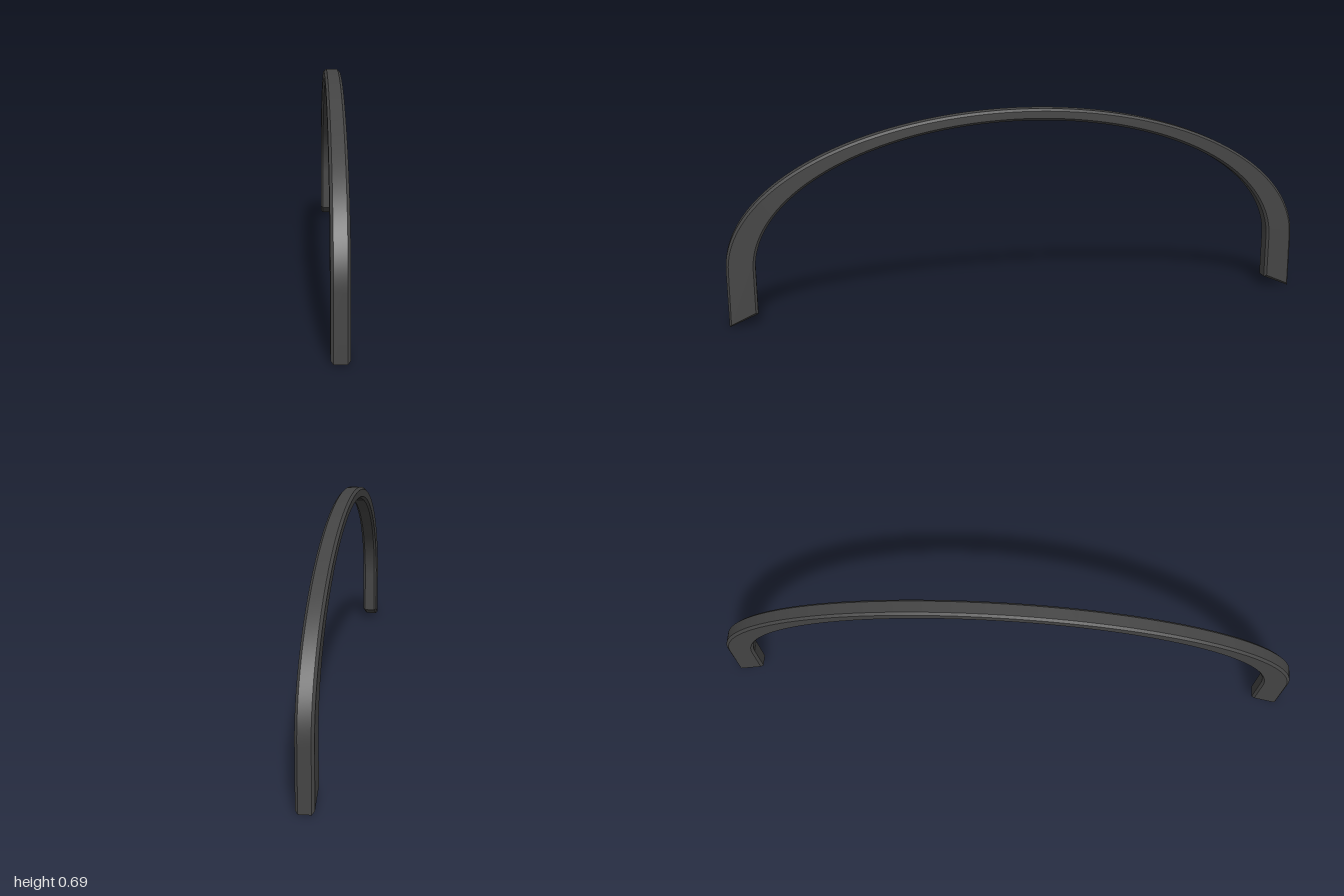
import * as THREE from 'three';
import { toCreasedNormals } from 'three/addons/utils/BufferGeometryUtils.js';

const SPRING = 0.195; // height where the straight legs turn into the arch
const WIDTH = 0.054;
const CHAMFER = 0.008;

export function createModel() {
  const group = new THREE.Group();
  group.name = 'archHandle';

  // Side profile: legs with slanted feet, joined by two half ellipses
  const profile = new THREE.Shape();
  profile.moveTo(1, 0);
  profile.lineTo(1, SPRING);
  profile.absellipse(0, SPRING, 1, 0.5, 0, Math.PI, false);
  profile.lineTo(-1, 0);
  profile.lineTo(-0.905, 0.04);
  profile.lineTo(-0.905, SPRING);
  profile.absellipse(0, SPRING, 0.905, 0.46, Math.PI, 0, true);
  profile.lineTo(0.905, 0.04);

  // Flat bar with chamfered edges, turned to run along z
  const geometry = new THREE.ExtrudeGeometry(profile, {
    depth: WIDTH - 2 * CHAMFER,
    curveSegments: 48,
    bevelEnabled: true,
    bevelSegments: 1,
    bevelSize: CHAMFER,
    bevelThickness: CHAMFER,
    bevelOffset: -CHAMFER,
  });
  geometry.translate(0, 0, -WIDTH / 2 + CHAMFER);
  geometry.rotateY(-Math.PI / 2);

  const arch = new THREE.Mesh(
    toCreasedNormals(geometry, 0.5),
    new THREE.MeshStandardMaterial({ color: 0x444444 })
  );
  arch.name = 'archBar';
  group.add(arch);
  return group;
}
